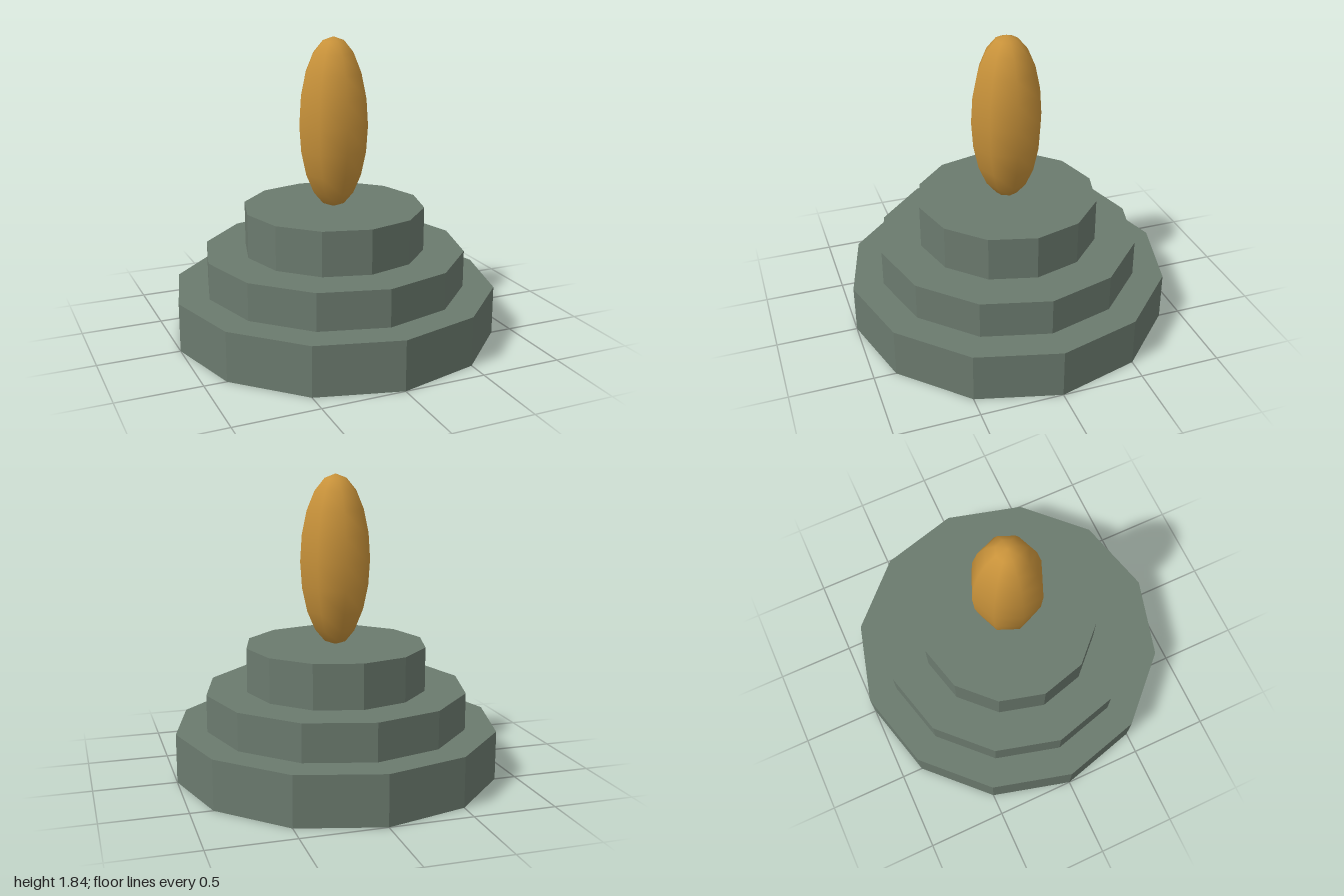
import * as THREE from 'three';

export function createModel() {
  const group = new THREE.Group();
  const stone = new THREE.MeshStandardMaterial({ color: 0x6b7a6e, flatShading: true });
  stone.name = 'greyGreenStone';
  const amber = new THREE.MeshStandardMaterial({ color: 0xc8923a });
  amber.name = 'amber';

  // Stepped twelve-sided plinth: name, radius, bottom, top
  const tiers = [
    ['lowerTier', 1, 0, 0.302],
    ['middleTier', 0.81, 0.302, 0.53],
    ['upperTier', 0.56, 0.53, 0.802],
  ];
  for (const [name, radius, bottom, top] of tiers) {
    const tier = new THREE.Mesh(new THREE.CylinderGeometry(radius, radius, top - bottom, 12), stone);
    tier.name = name;
    tier.position.y = (bottom + top) / 2;
    group.add(tier);
  }

  // Tall smooth ellipsoid standing on the top tier
  const flame = new THREE.Mesh(new THREE.SphereGeometry(1, 8, 10).scale(0.222, 0.522, 0.222), amber);
  flame.name = 'ellipsoid';
  flame.position.y = 1.316;
  group.add(flame);

  return group;
}
